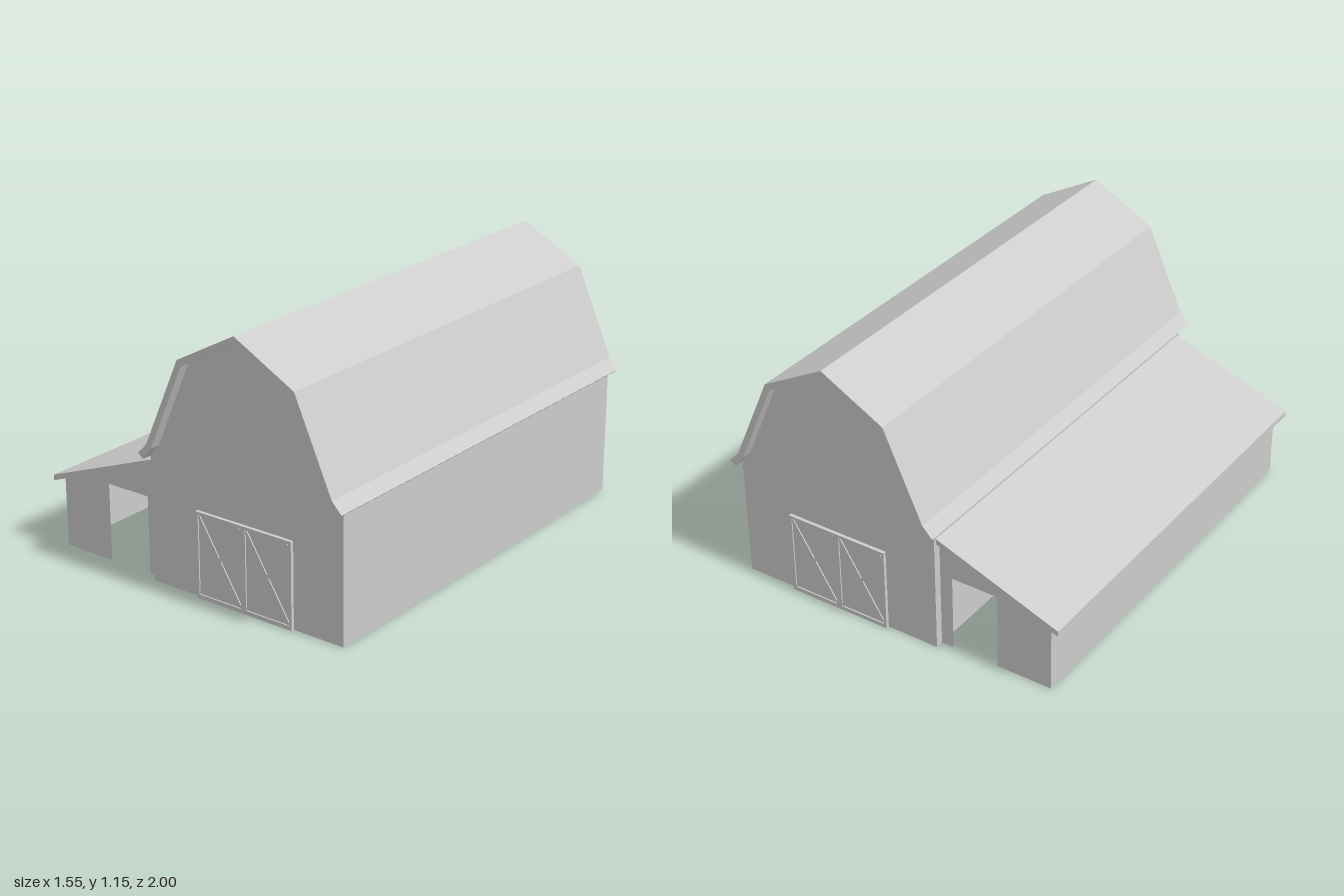
import * as THREE from 'three';

const barnGrey = new THREE.MeshStandardMaterial({ color: 0xcccccc, side: THREE.DoubleSide });
barnGrey.name = 'barnGrey';

const CX = 0.27;      // barn centre line
const WALL_Z = 0.955; // barn gable plane
const SHED_Z = 0.92;  // lean-to end plane

const shapeOf = (pts) => new THREE.Shape(pts.map(([x, y]) => new THREE.Vector2(x, y)));
const rect = (x0, y0, x1, y1) => [[x0, y0], [x1, y0], [x1, y1], [x0, y1]];

function add(parent, name, geometry, x = 0, y = 0, z = 0) {
  const mesh = new THREE.Mesh(geometry, barnGrey);
  mesh.name = name;
  mesh.position.set(x, y, z);
  parent.add(mesh);
  return mesh;
}

// prism running along z between z0 and z1
function prism(shape, z0, z1) {
  const g = new THREE.ExtrudeGeometry(shape, { depth: z1 - z0, bevelEnabled: false });
  return g.translate(0, 0, z0);
}

// upright sheet parallel to the z axis
function sideWall(parent, name, x, height, halfZ, facing) {
  const g = new THREE.PlaneGeometry(halfZ * 2, height);
  add(parent, name, g, x, height / 2, 0).rotation.y = facing * Math.PI / 2;
}

// double doors: hollow raised frame, two recessed panels with cross braces
function addDoors(end) {
  const doors = new THREE.Group();
  doors.name = 'barnDoors';
  end.add(doors);
  const panels = [[0.043, 0.257], [0.283, 0.497]];
  const y0 = 0.018, y1 = 0.362;
  const frame = shapeOf(rect(0.03, 0, 0.51, 0.375));
  panels.forEach(([a, b]) => frame.holes.push(shapeOf(rect(a, y0, b, y1))));
  add(doors, 'doorFrame', prism(frame, WALL_Z, 0.97));
  panels.forEach(([a, b]) => {
    const w = b - a, h = y1 - y0, mx = (a + b) / 2, my = (y0 + y1) / 2;
    add(doors, 'doorPanel', new THREE.PlaneGeometry(w, h), mx, my, 0.964);
    for (const s of [-1, 1]) {
      const brace = new THREE.BoxGeometry(0.012, Math.hypot(w, h) - 0.012, 0.005);
      add(doors, 'doorBrace', brace, mx, my, 0.9665).rotation.z = s * Math.atan2(w, h);
    }
  });
}

export function createModel() {
  const model = new THREE.Group();
  model.name = 'barn';

  // half profiles of the gambrel roof, as offsets from the centre line
  const outer = [[0, 1.155], [0.286, 1.0], [0.46, 0.612], [0.505, 0.565]];
  const inner = [[0, 1.13], [0.267, 0.977], [0.435, 0.6], [0.48, 0.545]];
  const full = (half) => [
    ...half.slice(1).reverse().map(([x, y]) => [CX - x, y]),
    ...half.map(([x, y]) => [CX + x, y]),
  ];

  // main roof
  add(model, 'mainRoof', prism(shapeOf([...full(outer), ...full(inner).reverse()]), -1, 1));

  // long side walls
  sideWall(model, 'leftWall', 0.75, 0.545, WALL_Z, 1);
  sideWall(model, 'rightWall', -0.21, 0.545, WALL_Z, -1);
  sideWall(model, 'leanToWall', -0.73, 0.305, SHED_Z, -1);

  // lean-to roof
  const shedRoof = shapeOf([[-0.775, 0.29], [-0.21, 0.5], [-0.21, 0.525], [-0.775, 0.315]]);
  add(model, 'leanToRoof', prism(shedRoof, -0.943, 0.943));

  // matching front and back ends
  for (const s of [1, -1]) {
    const end = new THREE.Group();
    end.name = s > 0 ? 'frontEnd' : 'backEnd';
    end.scale.z = s;
    model.add(end);

    const gable = shapeOf([[-0.21, 0], ...full(inner), [0.75, 0],
      [0.51, 0], [0.51, 0.375], [0.03, 0.375], [0.03, 0]]);
    add(end, 'gableWall', new THREE.ShapeGeometry(gable), 0, 0, WALL_Z);

    const shedEnd = shapeOf([[-0.73, 0], [-0.48, 0], [-0.48, 0.342], [-0.267, 0.342],
      [-0.267, 0], [-0.21, 0], [-0.21, 0.5], [-0.73, 0.307]]);
    add(end, 'leanToEndWall', new THREE.ShapeGeometry(shedEnd), 0, 0, SHED_Z);

    addDoors(end);
  }
  return model;
}
